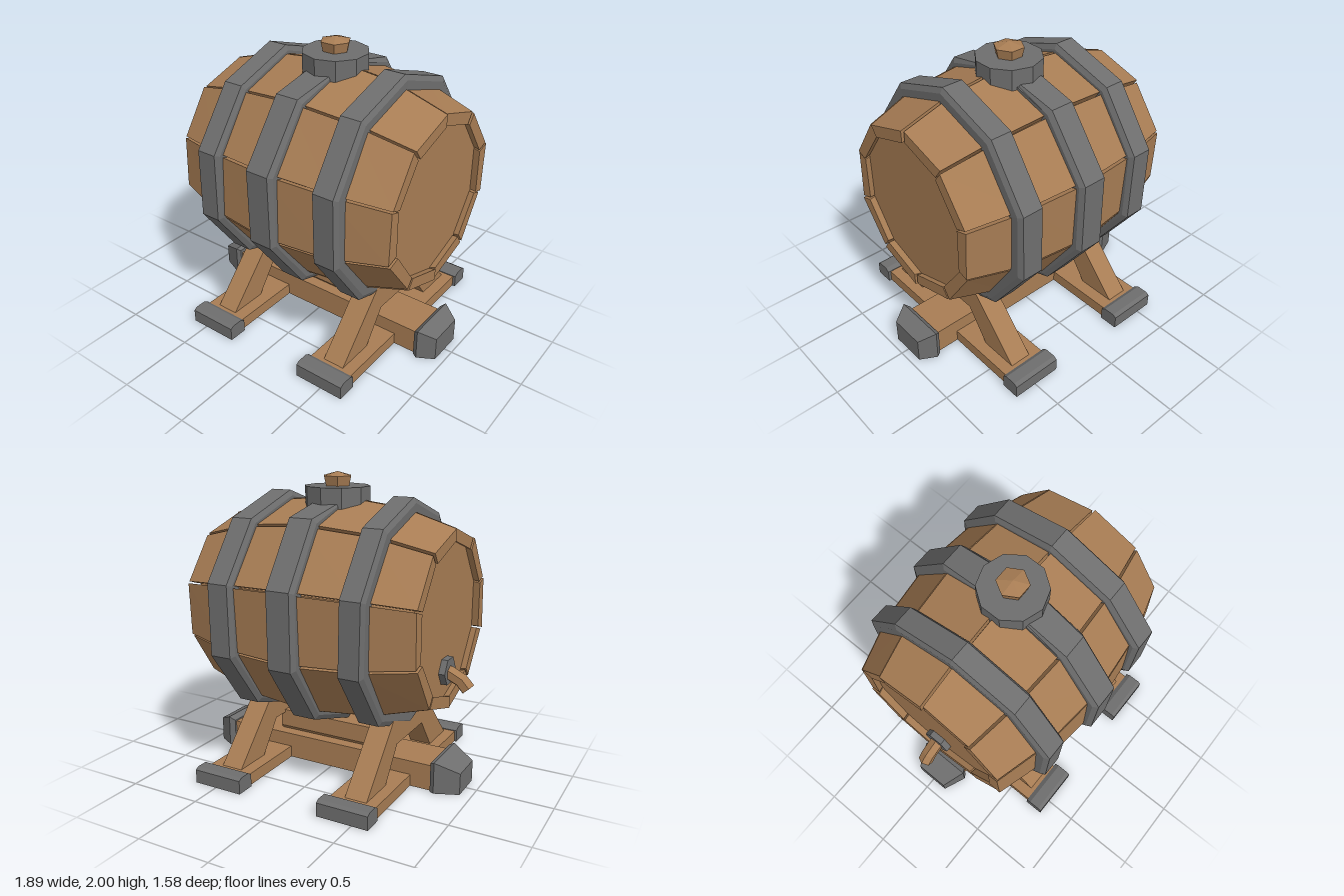
import * as THREE from 'three';

const wood = new THREE.MeshStandardMaterial({ color: 0xa87d54 });
wood.name = 'wood';
const iron = new THREE.MeshStandardMaterial({ color: 0x6e6e6e });
iron.name = 'iron';

const CX = 0.02, CY = 1.11, SIDES = 10, STEP = (Math.PI * 2) / SIDES;

// Flat-shaded mesh
function mesh(name, geometry, material) {
  const g = geometry.index ? geometry.toNonIndexed() : geometry;
  g.computeVertexNormals();
  const m = new THREE.Mesh(g, material);
  m.name = name;
  return m;
}

// Capped skin over convex sections listed in +x order, each counter-clockwise seen from +x
function loft(sections) {
  const n = sections[0].length, last = sections.length - 1, index = [];
  for (let s = 0; s < last; s++) {
    for (let i = 0; i < n; i++) {
      const j = (i + 1) % n, a = s * n, b = a + n;
      index.push(a + i, a + j, b + j, a + i, b + j, b + i);
    }
  }
  for (let i = 1; i < n - 1; i++) {
    index.push(0, i + 1, i, last * n, last * n + i, last * n + i + 1);
  }
  const g = new THREE.BufferGeometry();
  g.setAttribute('position', new THREE.Float32BufferAttribute(sections.flat(2), 3));
  g.setIndex(index);
  return g;
}

// Straight bar along x from a [y, z] profile
const bar = (x0, x1, profile) => loft([x0, x1].map(x => profile.map(([y, z]) => [x, y, z])));
const rect = (y0, y1, z) => [[y1, -z], [y1, z], [y0, z], [y0, -z]];
const polar = (x, r, a) => [x, CY + r * Math.cos(a), r * Math.sin(a)];

// Ten-sided turned shape around the barrel axis, from [radius, x] points
function turned(points) {
  const g = new THREE.LatheGeometry(points.map(p => new THREE.Vector2(...p)), SIDES);
  return g.rotateY(Math.PI / 2).rotateZ(-Math.PI / 2).translate(0, CY, 0);
}

function makeBarrel() {
  const barrel = new THREE.Group();
  barrel.name = 'barrel';

  // Bulging staves with narrow seams
  const stations = [[-0.79, 0.58], [-0.44, 0.685], [CX, 0.735], [0.47, 0.69], [0.83, 0.58]];
  for (let k = 0; k < SIDES; k++) {
    const dr = 0.008 * Math.sin(k * 2.4), dx = 0.006 * Math.cos(k * 1.7);
    const a0 = k * STEP + 0.012, a1 = (k + 1) * STEP - 0.012;
    barrel.add(mesh('stave', loft(stations.map(([x, r]) => [
      polar(x + dx, r + dr, a0), polar(x + dx, r - dr, a1),
      polar(x + dx, r - 0.08, a1), polar(x + dx, r - 0.08, a0),
    ])), wood));
  }

  // Recessed heads closed by an inner core
  barrel.add(mesh('heads', turned([
    [0, -0.745], [0.52, -0.745], [0.63, -0.44], [0.68, CX], [0.635, 0.47], [0.52, 0.785], [0, 0.785],
  ]), wood));

  // Hoops with bevelled edges and a slight hand-forged wobble
  [[-0.44, 0.75, 0.085], [CX, 0.79, 0.1], [0.47, 0.755, 0.09]].forEach(([x, r, w], h) => {
    const g = turned([
      [r - 0.11, x - w], [r - 0.035, x - w], [r, x - w * 0.8], [r, x + w * 0.8],
      [r - 0.035, x + w], [r - 0.11, x + w], [r - 0.11, x - w],
    ]);
    const p = g.attributes.position;
    for (let i = 0; i < p.count; i++) {
      const a = Math.atan2(p.getZ(i), p.getY(i) - CY);
      p.setX(i, p.getX(i) + 0.008 * Math.sin(2 * a + h * 2));
      p.setY(i, Math.min(p.getY(i), h === 1 ? 1.85 : 1.866));
    }
    barrel.add(mesh('hoop', g, iron));
  });
  return barrel;
}

function makeBung() {
  const bung = new THREE.Group();
  bung.name = 'bung';
  bung.position.set(0.03, 0, 0);
  const collar = mesh('bungCollar', new THREE.CylinderGeometry(0.215, 0.215, 0.16, 10), iron);
  collar.position.y = 1.83;
  const plug = mesh('bungPlug', new THREE.CylinderGeometry(0.1, 0.08, 0.085, 6).rotateY(Math.PI / 6), wood);
  plug.position.y = 1.93;
  const tip = mesh('bungTip', new THREE.ConeGeometry(0.1, 0.0275, 6).rotateY(Math.PI / 6), wood);
  tip.position.y = 1.98625;
  bung.add(collar, plug, tip);
  return bung;
}

function makeSpigot() {
  const spigot = new THREE.Group();
  spigot.name = 'spigot';
  // Bent pipe: centre x, centre y, pitch
  const path = [[-0.912, 0.678, 0.84], [-0.865, 0.73, 0.65], [-0.79, 0.765, 0.35], [-0.7, 0.785, 0.2]];
  spigot.add(mesh('spigotPipe', loft(path.map(([x, y, t]) =>
    Array.from({ length: 6 }, (_, i) => {
      const a = (i * Math.PI) / 3, u = 0.05 * Math.cos(a);
      return [x - u * Math.sin(t), y + u * Math.cos(t), 0.05 * Math.sin(a)];
    }))), wood));
  const flange = mesh('spigotFlange', new THREE.CylinderGeometry(0.095, 0.095, 0.05, 6).rotateZ(Math.PI / 2), iron);
  flange.position.set(-0.762, 0.78, 0);
  spigot.add(flange);
  return spigot;
}

function makeStand() {
  const stand = new THREE.Group();
  stand.name = 'stand';

  // Long beam, upper stretcher and tapered end caps
  stand.add(mesh('beam', bar(-0.77, 0.83, rect(0, 0.175, 0.15)), wood));
  stand.add(mesh('stretcher', bar(-0.4, 0.44,
    [[0.32, -0.09], [0.32, 0.09], [0.2, 0.09], [0.15, 0.05], [0.15, -0.05], [0.2, -0.09]]), wood));
  const cap = list => loft(list.map(([x, y, z]) => rect(0, y, z).map(([py, pz]) => [x, py, pz])));
  stand.add(mesh('beamCap', cap([[0.8, 0.185, 0.165], [0.835, 0.215, 0.187], [0.945, 0.165, 0.125]]), iron));
  stand.add(mesh('beamCap', cap([[-0.925, 0.145, 0.115], [-0.77, 0.212, 0.18], [-0.74, 0.2, 0.165]]), iron));

  // Cradle profile with a notch that holds the barrel
  const cradle = new THREE.Shape([
    [0, 0.4], [-0.22, 0.52], [-0.64, 0.07], [-0.37, 0.07], [-0.2, 0.3],
    [0.2, 0.3], [0.37, 0.07], [0.64, 0.07], [0.22, 0.52],
  ].map(p => new THREE.Vector2(...p)));
  const capProfile = [[0.105, 0.69], [0.105, 0.765], [0.09, 0.79], [0, 0.79], [0, 0.66], [0.085, 0.66]];
  const mirrored = capProfile.map(([y, z]) => [y, -z]).reverse();

  for (const [x, foot] of [[-0.445, -0.435], [0.485, 0.485]]) {
    const g = new THREE.ExtrudeGeometry(cradle, { depth: 0.15, bevelEnabled: false });
    stand.add(mesh('cradle', g.rotateY(Math.PI / 2).translate(x - 0.075, 0, 0), wood));
    stand.add(mesh('foot', bar(foot - 0.16, foot + 0.155, rect(0, 0.08, 0.68)), wood));
    for (const profile of [capProfile, mirrored]) {
      stand.add(mesh('footCap', bar(foot - 0.175, foot + 0.175, profile), iron));
    }
  }
  return stand;
}

export function createModel() {
  const model = new THREE.Group();
  model.name = 'barrelOnStand';
  model.add(makeBarrel(), makeBung(), makeSpigot(), makeStand());
  return model;
}
